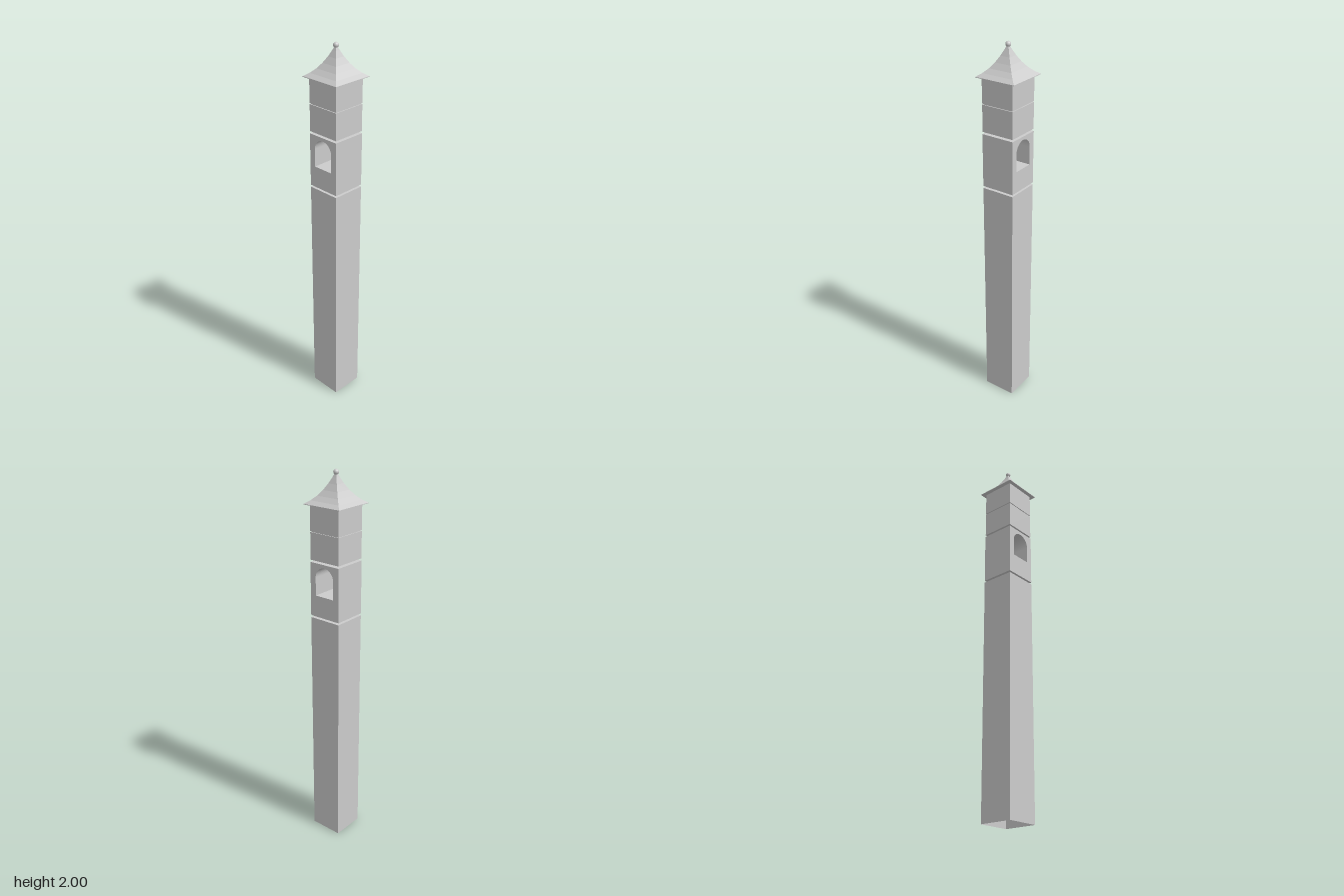
import * as THREE from 'three';

const flat = new THREE.MeshStandardMaterial({ color: 0xcccccc, flatShading: true, side: THREE.DoubleSide });
const smooth = new THREE.MeshStandardMaterial({ color: 0xcccccc });
const HALF = 0.089; // half width of the tower

// Square-plan solid from a profile of [half width, height] pairs, bottom to top
function squareLathe(name, profile) {
  const points = profile.map(([w, y]) => new THREE.Vector2(w * Math.SQRT2, y));
  const mesh = new THREE.Mesh(new THREE.LatheGeometry(points, 4, Math.PI / 4), flat);
  mesh.name = name;
  return mesh;
}

function block(name, half, y0, y1) {
  const mesh = new THREE.Mesh(new THREE.BoxGeometry(half * 2, y1 - y0, half * 2), flat);
  mesh.position.y = (y0 + y1) / 2;
  mesh.name = name;
  return mesh;
}

// Block with an arched opening running through it from side to side
function belfry(y0, y1) {
  const shape = new THREE.Shape([
    new THREE.Vector2(-HALF, y0), new THREE.Vector2(HALF, y0),
    new THREE.Vector2(HALF, y1), new THREE.Vector2(-HALF, y1),
  ]);
  const r = 0.056, sill = 1.392, spring = 1.485;
  const arch = new THREE.Path();
  arch.moveTo(-r, sill);
  arch.lineTo(-r, spring);
  arch.absarc(0, spring, r, Math.PI, 0, true);
  arch.lineTo(r, sill);
  arch.closePath();
  shape.holes.push(arch);
  const geometry = new THREE.ExtrudeGeometry(shape, { depth: HALF * 2, bevelEnabled: false, curveSegments: 20 });
  geometry.translate(0, 0, -HALF).rotateY(Math.PI / 2);
  const mesh = new THREE.Mesh(geometry, flat);
  mesh.name = 'belfry';
  return mesh;
}

export function createModel() {
  const tower = new THREE.Group();
  tower.name = 'tower';

  // Hollow shaft, open at the bottom
  tower.add(squareLathe('shaft', [[HALF, 0], [HALF, 1.27], [0, 1.27]]));
  tower.add(belfry(1.281, 1.558));

  // Two upper storeys with a thin recessed joint
  tower.add(block('lowerStorey', HALF - 0.001, 1.569, 1.706));
  tower.add(block('storeyJoint', HALF - 0.006, 1.706, 1.711));
  tower.add(block('upperStorey', HALF - 0.001, 1.711, 1.84));

  // Concave pyramid roof with a closed underside
  tower.add(squareLathe('roof', [
    [0, 1.838], [0.109, 1.838], [0.109, 1.841], [0.086, 1.857], [0.064, 1.878],
    [0.044, 1.904], [0.026, 1.934], [0.012, 1.963], [0.004, 1.982], [0, 1.985],
  ]));

  const finial = new THREE.Mesh(new THREE.SphereGeometry(0.0135, 24, 16), smooth);
  finial.position.y = 1.9865;
  finial.name = 'finial';
  tower.add(finial);

  return tower;
}
